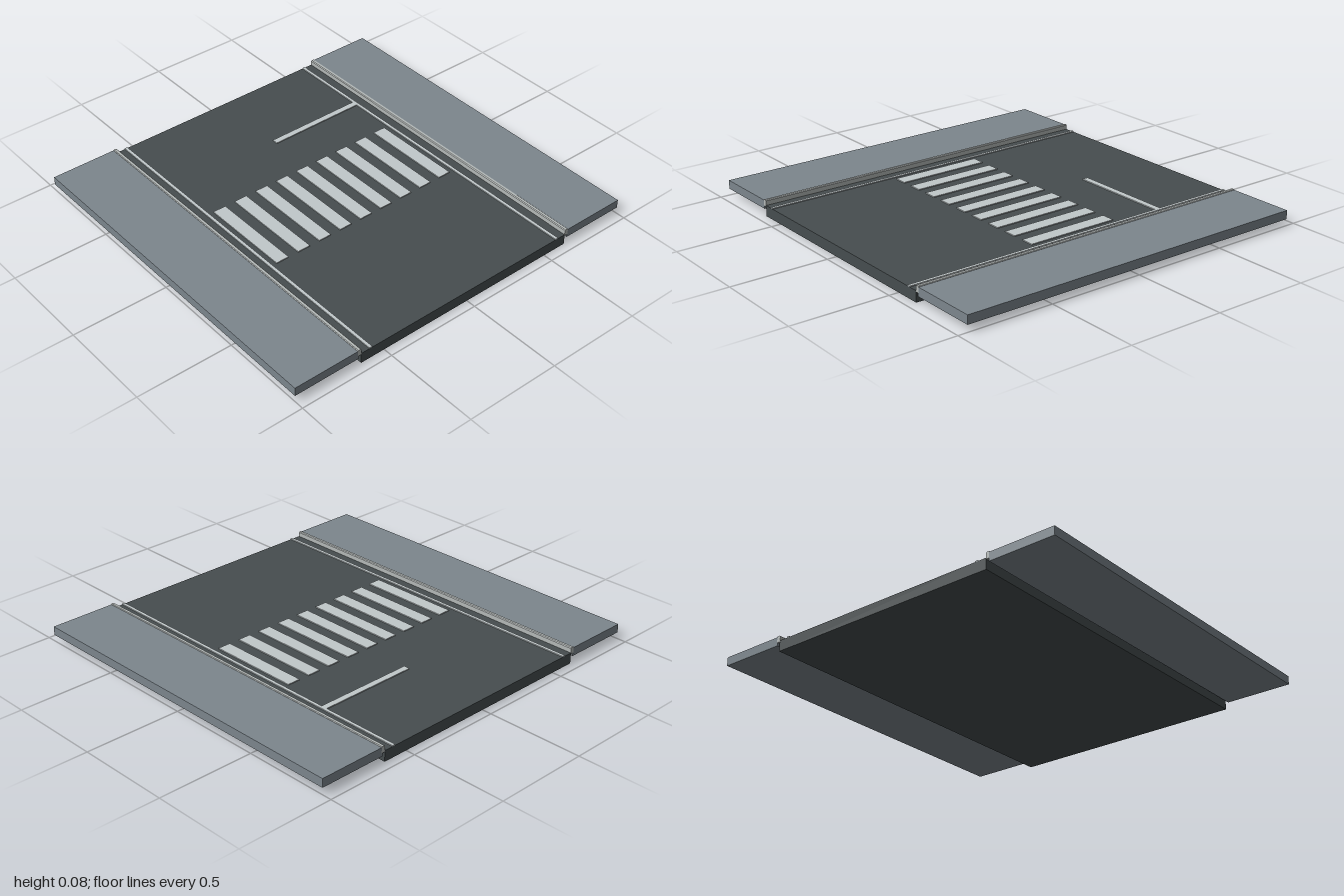
import * as THREE from 'three';

export function createModel() {
  const group = new THREE.Group();
  const mat = (name, color) => {
    const m = new THREE.MeshStandardMaterial({ color });
    m.name = name;
    return m;
  };
  const asphalt = mat('asphalt', 0x464d4f);
  const paving = mat('paving', 0x7c868d);
  const paint = mat('roadPaint', 0xc1c8ca);
  const kerbStone = mat('kerbStone', 0xb4b9b8);

  // Box given by its limits on each axis
  const box = (name, material, x0, x1, y0, y1, z0, z1) => {
    const mesh = new THREE.Mesh(new THREE.BoxGeometry(x1 - x0, y1 - y0, z1 - z0), material);
    mesh.position.set((x0 + x1) / 2, (y0 + y1) / 2, (z0 + z1) / 2);
    mesh.name = name;
    group.add(mesh);
  };

  const halfLength = 0.95, roadTop = 0.056, paintTop = 0.061;

  // Road slab
  box('road', asphalt, -0.633, 0.633, 0, roadTop, -halfLength, halfLength);

  // Raised pavements, kerbs and edge lines on both sides
  for (const [side, s] of [['left', 1], ['right', -1]]) {
    const strip = (name, material, a, b, y0, y1) =>
      box(side + name, material, Math.min(s * a, s * b), Math.max(s * a, s * b), y0, y1, -halfLength, halfLength);
    strip('Pavement', paving, 0.648, 1, 0.034, 0.079);
    strip('EdgeLine', paint, 0.57, 0.586, roadTop, paintTop);

    // Kerb with a small chamfer along its top edges
    const profile = new THREE.Shape([
      [0.632, 0.05], [0.652, 0.05], [0.652, 0.08], [0.649, 0.083], [0.636, 0.083], [0.632, 0.079],
    ].map(([x, y]) => new THREE.Vector2(s * x, y)));
    const geometry = new THREE.ExtrudeGeometry(profile, { depth: 2 * halfLength, bevelEnabled: false });
    geometry.translate(0, 0, -halfLength);
    const kerb = new THREE.Mesh(geometry, kerbStone);
    kerb.name = side + 'Kerb';
    group.add(kerb);
  }

  // Crossing stripes
  for (let i = 0; i < 9; i++) {
    const x = (i - 4) * 0.1275;
    box('crossingStripe' + (i + 1), paint, x - 0.035, x + 0.035, roadTop, paintTop, -0.246, 0.246);
  }

  // Stop line across one lane
  box('stopLine', paint, 0.037, 0.57, roadTop, paintTop, -0.526, -0.494);

  return group;
}
